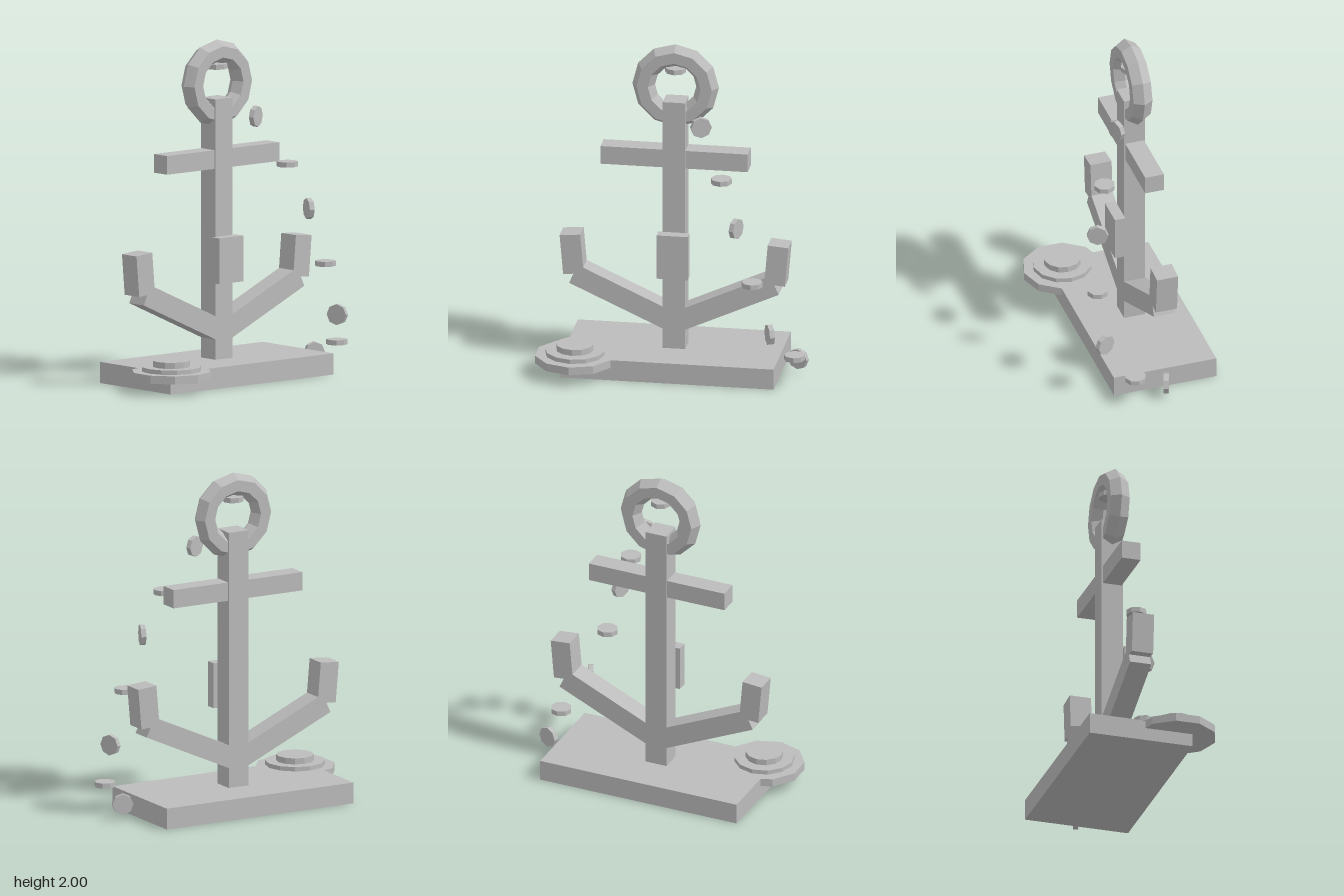
import * as THREE from 'three';

export function createModel() {
  const model = new THREE.Group();
  model.name = 'anchorDisplay';
  const grey = new THREE.MeshStandardMaterial({ color: 0xbbbbbb, flatShading: true });
  grey.name = 'stone grey';

  const cx = -0.008; // anchor centre line
  const cz = -0.08;

  function add(name, geometry, x, y, z) {
    const mesh = new THREE.Mesh(geometry, grey);
    mesh.name = name;
    mesh.position.set(x, y, z);
    model.add(mesh);
    return mesh;
  }
  const box = (name, w, h, d, x, y, z) => add(name, new THREE.BoxGeometry(w, h, d), x, y, z);

  // Plinth, upright and crossbar
  box('base', 1.26, 0.125, 0.63, cx, 0.0625, cz);
  box('shank', 0.133, 1.535, 0.13, cx, 0.8925, cz);
  box('crossbar', 0.87, 0.11, 0.115, cx, 1.305, cz);
  box('frontPlate', 0.185, 0.27, 0.065, cx, 0.715, 0.0175);

  // Faceted ring at the top
  add('ring', new THREE.TorusGeometry(0.189, 0.067, 6, 12), cx, 1.745, cz);

  // Mirrored arms with upturned tips
  for (const side of [1, -1]) {
    const label = side > 0 ? 'left' : 'right';
    const arm = box(label + 'Arm', 0.652, 0.125, 0.13, cx + side * 0.297, 0.419, cz);
    arm.rotation.z = side * 0.427;
    const tip = box(label + 'Fluke', 0.122, 0.242, 0.13, cx + side * 0.605, 0.676, cz);
    tip.rotation.z = -side * 0.087;
  }

  // Stacked discs on the corner of the plinth
  const discs = [
    [0.236, 0.077, 0.125, 10],
    [0.175, 0.12, 0.151, 12],
    [0.11, 0.15, 0.187, 12],
  ];
  discs.forEach(([r, y0, y1, sides], i) =>
    add('disc' + (i + 1), new THREE.CylinderGeometry(r, r, y1 - y0, sides), -0.565, (y0 + y1) / 2, 0.158));

  // Trail of small coins, alternately flat and upright, each turned a bit further
  const coinGeometry = new THREE.CylinderGeometry(0.062, 0.062, 0.03, 8);
  const coins = [
    [-0.008, 1.845, -0.08], [0.165, 1.548, 0.068], [0.305, 1.268, 0.187], [0.405, 1.003, 0.263],
    [0.505, 0.675, 0.296], [0.607, 0.362, 0.285], [0.73, 0.174, 0.138], [0.722, 0.092, -0.054],
  ];
  coins.forEach(([x, y, z], i) => {
    const coin = add('coin' + (i + 1), coinGeometry, x, y, z);
    coin.rotation.order = 'YXZ';
    coin.rotation.y = 0.4 * i;
    if (i % 2) coin.rotation.x = Math.PI / 2;
  });

  return model;
}
